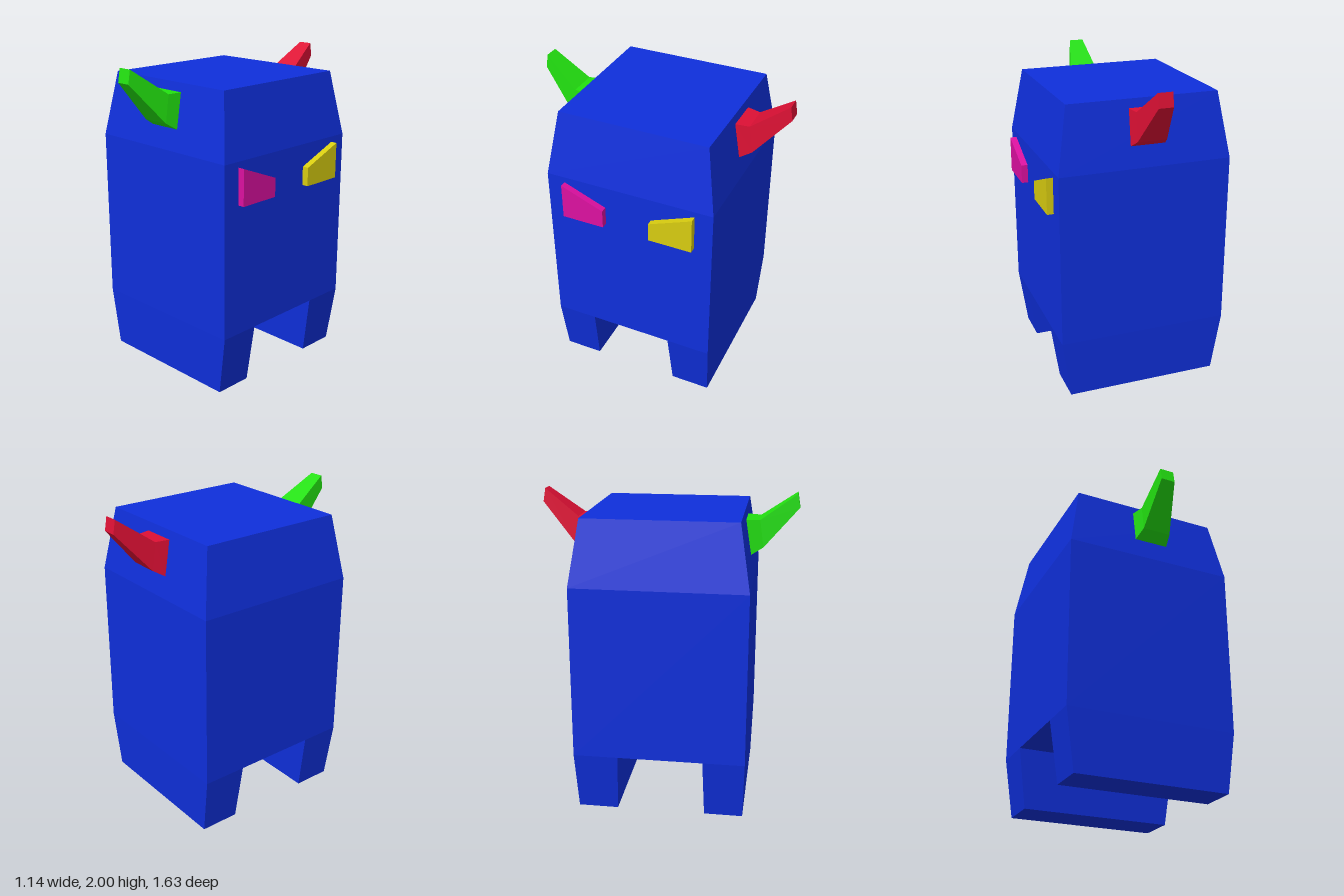
import * as THREE from 'three';

// Skins a solid through rings of corners, each ring counter-clockwise seen from the far end.
function loft(name, color, rings) {
  const pos = [];
  const quad = (a, b, c, d) => pos.push(...a, ...b, ...c, ...a, ...c, ...d);
  for (let i = 0; i < rings.length - 1; i++) {
    const a = rings[i], b = rings[i + 1];
    for (let k = 0; k < 4; k++) {
      const n = (k + 1) % 4;
      quad(a[k], a[n], b[n], b[k]);
    }
  }
  quad(...[...rings[0]].reverse());
  quad(...rings[rings.length - 1]);
  const geo = new THREE.BufferGeometry();
  geo.setAttribute('position', new THREE.Float32BufferAttribute(pos, 3));
  geo.computeVertexNormals();
  const mesh = new THREE.Mesh(geo, new THREE.MeshStandardMaterial({ color, flatShading: true }));
  mesh.name = name;
  return mesh;
}

// Horizontal rectangle at height y
const slab = (y, x0, x1, z0, z1) => [[x0, y, z1], [x1, y, z1], [x1, y, z0], [x0, y, z0]];

// Horn of three cross-sections; dir is +1 to the front, -1 to the back
function horn(name, color, dir, widths) {
  // bottom z, bottom y, top z, top y
  const profile = [[0.523, 1.62, 0.487, 1.84], [0.597, 1.665, 0.572, 1.837], [0.813, 1.915, 0.798, 2]];
  const rings = profile.map(([zb, yb, zt, yt], i) => {
    const [l, r] = dir > 0 ? widths[i] : [widths[i][1], widths[i][0]];
    return [[l, yb, dir * zb], [r, yb, dir * zb], [r, yt, dir * zt], [l, yt, dir * zt]];
  });
  return loft(name, color, rings);
}

// Flat eye plate on the +x face, outlined by [z, y] corners
const eye = (name, color, outline) =>
  loft(name, color, [0.52, 0.567].map((x) => outline.map(([z, y]) => [x, y, z])));

export function createModel() {
  const group = new THREE.Group();
  const blue = 0x0f2fdb;

  // Boxy body with a tapered top
  group.add(loft('body', blue, [
    slab(0.385, -0.57, 0.525, -0.545, 0.545),
    slab(1.485, -0.57, 0.525, -0.545, 0.545),
    slab(1.895, -0.5, 0.455, -0.478, 0.478),
  ]));

  // Two wide legs tapering to the ground
  group.add(loft('frontLeg', blue, [
    slab(0, -0.515, 0.47, 0.29, 0.535), slab(0.385, -0.57, 0.525, 0.28, 0.545),
  ]));
  group.add(loft('backLeg', blue, [
    slab(0, -0.515, 0.47, -0.53, -0.275), slab(0.385, -0.57, 0.525, -0.545, -0.26),
  ]));

  // Horns
  group.add(horn('frontHorn', 0x22e010, 1, [[-0.117, 0.104], [-0.095, 0.09], [-0.072, 0.02]]));
  group.add(horn('backHorn', 0xdd1034, -1, [[-0.146, 0.073], [-0.125, 0.06], [-0.065, 0.026]]));

  // Slanted eyes
  group.add(eye('frontEye', 0xdc10a0, [[0.43, 1.22], [0.155, 1.22], [0.155, 1.34], [0.43, 1.45]]));
  group.add(eye('backEye', 0xd8cc10, [[-0.15, 1.22], [-0.43, 1.22], [-0.43, 1.45], [-0.15, 1.34]]));

  return group;
}
